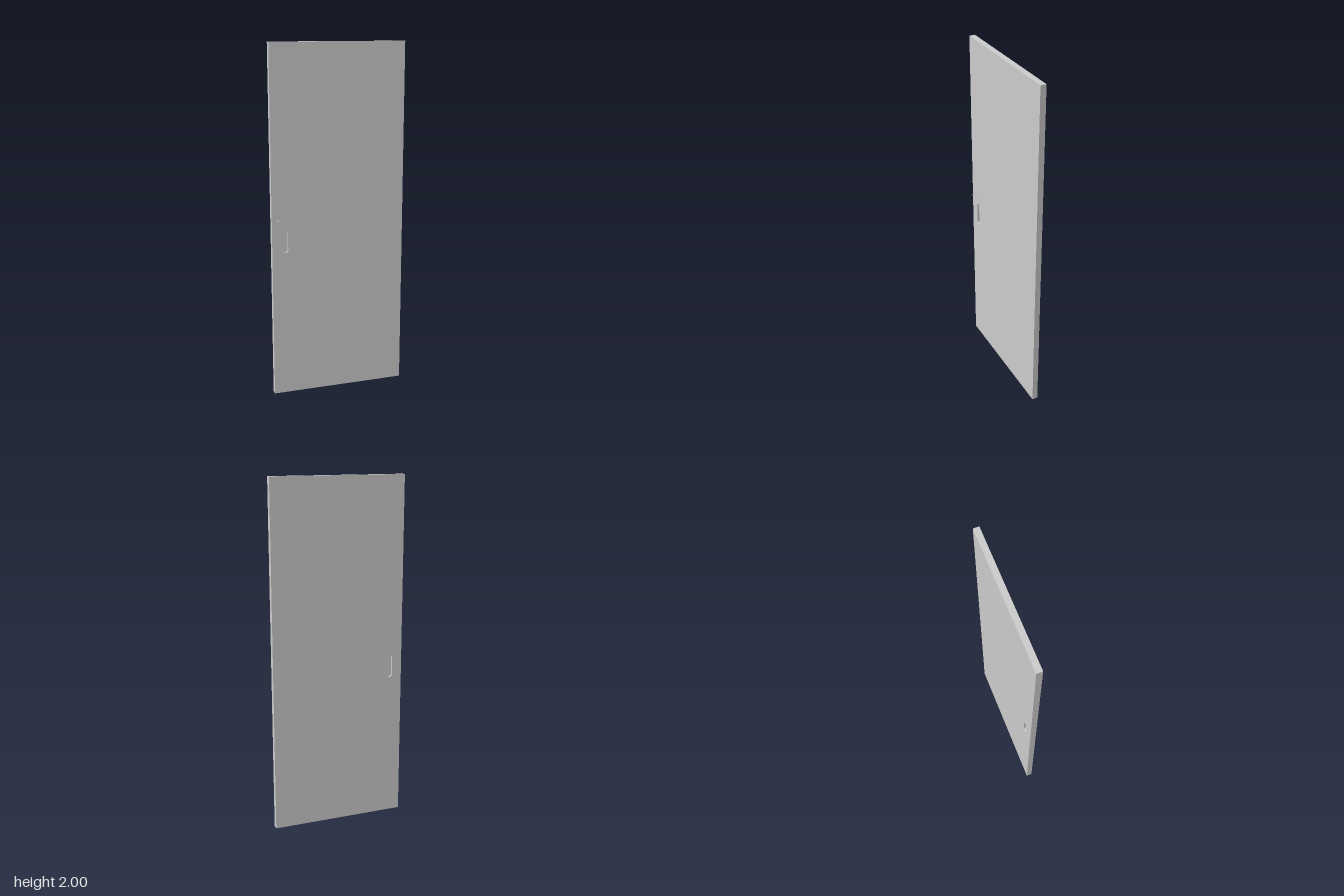
import * as THREE from 'three';

const WIDTH = 0.78, HEIGHT = 2;
const BACK = -0.027, FRONT = 0.006;
const RECESS = 0.012; // depth of the finger pull on each face

// Upright pill outline, used for the pull opening and its floor
function pill(Type, x, y, w, h) {
  const r = w / 2, s = h / 2 - r;
  const p = new Type();
  p.moveTo(x + r, y - s);
  p.lineTo(x + r, y + s);
  p.absarc(x, y + s, r, 0, Math.PI, false);
  p.lineTo(x - r, y - s);
  p.absarc(x, y - s, r, Math.PI, 2 * Math.PI, false);
  return p;
}

function slab(name, shape, z0, z1, material) {
  const geo = new THREE.ExtrudeGeometry(shape, { depth: z1 - z0, bevelEnabled: false, curveSegments: 16 });
  geo.translate(0, 0, z0);
  const mesh = new THREE.Mesh(geo, material);
  mesh.name = name;
  return mesh;
}

export function createModel() {
  const group = new THREE.Group();
  group.name = 'slidingDoor';
  const grey = new THREE.MeshStandardMaterial({ color: 0xcccccc });
  const pull = [-0.315, 0.91, 0.034, 0.138];

  // Door leaf with the pull opening
  const leaf = new THREE.Shape();
  leaf.moveTo(-WIDTH / 2, 0);
  leaf.lineTo(WIDTH / 2, 0);
  leaf.lineTo(WIDTH / 2, HEIGHT);
  leaf.lineTo(-WIDTH / 2, HEIGHT);
  leaf.closePath();
  leaf.holes.push(pill(THREE.Path, ...pull));
  group.add(slab('doorPanel', leaf, BACK, FRONT, grey));

  // Web inside the opening, the floor of the recess on both faces
  group.add(slab('pullFloor', pill(THREE.Shape, ...pull), BACK + RECESS, FRONT - RECESS, grey));

  // Small U-shaped latch loop near the edge
  const r = 0.01, cz = 0.0135, lx = -0.354, ly = 1.03;
  const points = [new THREE.Vector3(lx - r, ly, FRONT - 0.003)];
  for (let i = 0; i <= 12; i++) {
    const a = Math.PI * (1 - i / 12);
    points.push(new THREE.Vector3(lx + r * Math.cos(a), ly, cz + r * Math.sin(a)));
  }
  points.push(new THREE.Vector3(lx + r, ly, FRONT - 0.003));
  const loop = new THREE.Mesh(
    new THREE.TubeGeometry(new THREE.CatmullRomCurve3(points), 40, 0.0025, 10), grey);
  loop.name = 'latchLoop';
  group.add(loop);

  return group;
}
